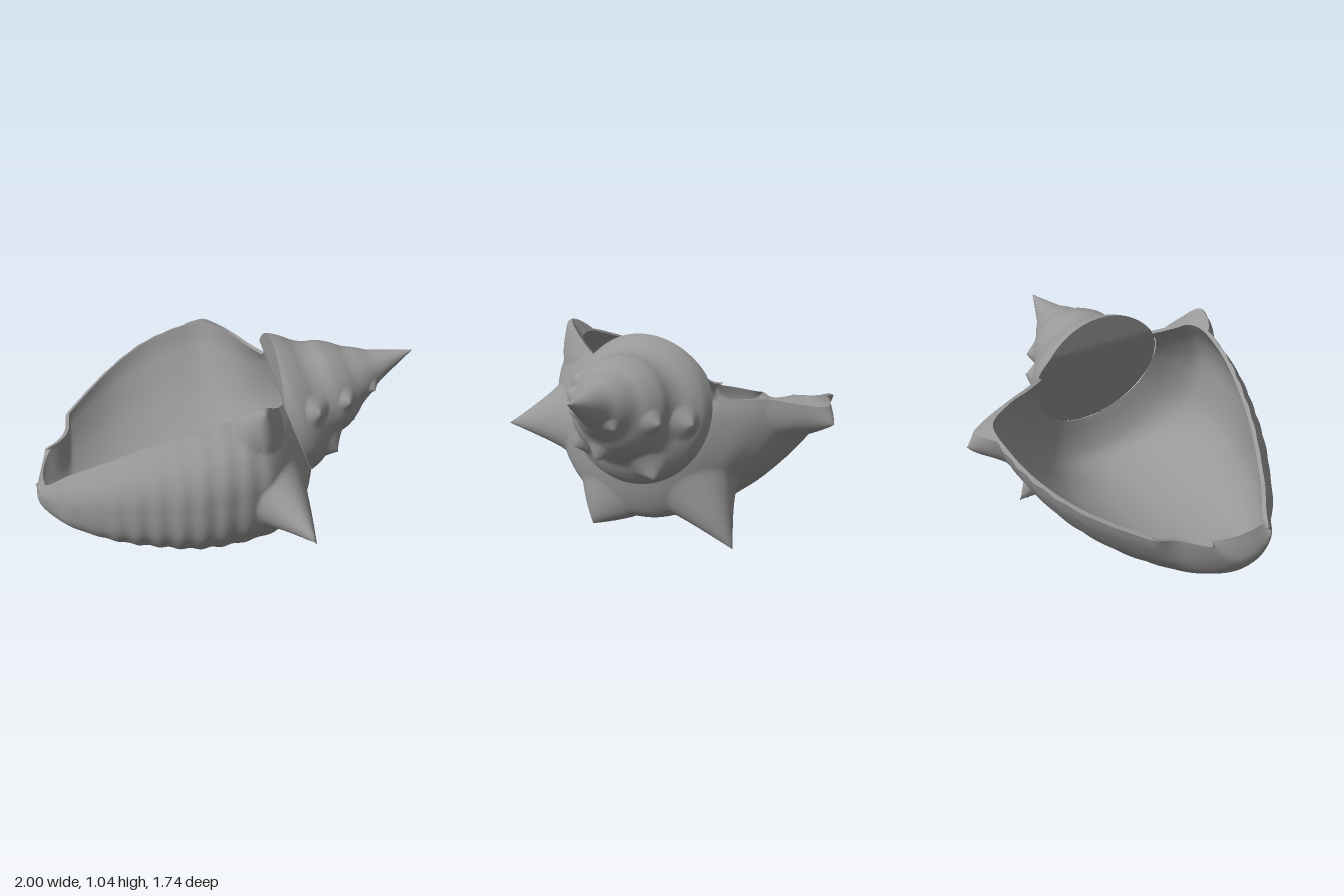
import * as THREE from 'three';

const V = (x, y, z) => new THREE.Vector3(x, y, z);
const { lerp, smoothstep } = THREE.MathUtils;

// smooth interpolation through rows of numbers, t in 0..1
function sample(rows, t) {
  const f = t * (rows.length - 1), i = Math.min(Math.floor(f), rows.length - 2), u = f - i;
  const at = (n) => rows[Math.max(0, Math.min(rows.length - 1, n))];
  return rows[i].map((_, c) => {
    const p0 = at(i - 1)[c], p1 = at(i)[c], p2 = at(i + 1)[c], p3 = at(i + 2)[c];
    const m1 = (p2 - p0) / 2, m2 = (p3 - p1) / 2, d = p1 - p2;
    return p1 + u * (m1 + u * (-3 * d - 2 * m1 - m2 + u * (2 * d + m1 + m2)));
  });
}

// surface from a grid of points; closed joins the last column to the first
function gridGeometry(points, cols, closed = false, flip = false) {
  const rows = points.length / cols, index = [];
  for (let i = 0; i < rows - 1; i++) {
    for (let j = 0; j < (closed ? cols : cols - 1); j++) {
      const k = (j + 1) % cols;
      const a = i * cols + j, b = i * cols + k, c = a + cols, d = b + cols;
      if (flip) index.push(a, c, b, b, c, d);
      else index.push(a, b, c, b, d, c);
    }
  }
  const g = new THREE.BufferGeometry().setFromPoints(points);
  g.setIndex(index);
  g.computeVertexNormals();
  return g;
}

// pulls the surface around the point nearest to base out into a thorn
function pullThorn(points, base, tip, radius, power) {
  let centre = points[0];
  for (const p of points) if (p.distanceTo(base) < centre.distanceTo(base)) centre = p;
  centre = centre.clone();
  const pull = tip.clone().sub(centre);
  for (const p of points) {
    const t = 1 - p.distanceTo(centre) / radius;
    if (t > 0) p.addScaledVector(pull, Math.pow(t, power));
  }
}

// stations: x, bottom y, front z, back z, front rim y, back rim y, slant, roundness
const STATIONS = [
  [-0.955, 0.39, 0.19, -0.12, 0.40, 0.40, 0, 0],
  [-1.00, 0.27, 0.20, -0.14, 0.395, 0.39, 0, 0],
  [-0.94, 0.165, 0.26, -0.23, 0.42, 0.40, 0, 0],
  [-0.80, 0.09, 0.36, -0.41, 0.53, 0.46, 0, 0],
  [-0.60, 0.04, 0.49, -0.61, 0.67, 0.55, 0, 0],
  [-0.40, 0.015, 0.58, -0.73, 0.79, 0.64, 0, 0],
  [-0.20, 0.005, 0.65, -0.775, 0.88, 0.71, 0, 0],
  [0.00, 0.018, 0.67, -0.765, 0.95, 0.76, 0.02, 0.05],
  [0.15, 0.05, 0.64, -0.61, 0.95, 0.77, 0.12, 0.25],
  [0.24, 0.12, 0.55, -0.47, 0.92, 0.77, 0.26, 0.6],
  [0.325, 0.33, 0.42, -0.35, 0.89, 0.77, 0.39, 1],
];
// section outlines from front rim, under the belly, to back rim
const BELLY = [[0.78, 1], [0.95, 0.82], [1, 0.62], [0.92, 0.32], [0.6, 0.08], [0, 0],
  [-0.4, 0.13], [-0.72, 0.45], [-0.93, 0.8], [-1, 1]];
const ROUND = [[0.82, 1], [0.94, 0.87], [1, 0.64], [0.87, 0.31], [0.5, 0.09], [0, 0],
  [-0.5, 0.11], [-0.87, 0.42], [-1, 0.83], [-0.97, 1]];
const AXIS_Z = 0.035;

function bodyPoint(s, t, ribHeight) {
  const [x, yb, zF, zB, yF, yB, slant, round] = sample(STATIONS, s);
  const a = sample(BELLY, t), b = sample(ROUND, t);
  const pz = lerp(a[0], b[0], round), py = lerp(a[1], b[1], round);
  const front = t < 5 / 9;
  // faint growth ribs
  const rib = ribHeight * smoothstep(x, -0.9, -0.4) * (1 - round) * Math.sin(x * 60);
  const y = yb + py * ((front ? yF : yB) - yb) - rib * (1 - py);
  const z = AXIS_Z + pz * ((front ? zF - AXIS_Z : AXIS_Z - zB) + rib);
  // rounded nose
  const nose = (1 - smoothstep(x, -1, -0.82)) * 1.2 * (z - 0.07) ** 2;
  return V(x + nose + slant * (0.68 - y), y, z);
}

// spire: distance along the axis, radius
const LENGTH = 0.716, BASE = 0.385;
const SPIRE = [[0, BASE], [0.06, 0.365], [0.11, 0.33], [0.16, 0.285], [0.21, 0.258], [0.27, 0.24],
  [0.33, 0.203], [0.38, 0.162], [0.44, 0.128], [0.5, 0.09], [0.57, 0.06], [0.65, 0.027], [LENGTH, 0.001]];

// the top of the base is cut off upright at x = 0.25
function spirePoint(along, radius, angle) {
  const f = along / LENGTH, up = radius * Math.cos(angle);
  return V(Math.max(0.25, 0.325 + 0.675 * f - 0.36 * up), 0.685 + 0.24 * f + 0.92 * up,
    AXIS_Z - 0.025 * f + radius * Math.sin(angle));
}

export function createModel() {
  const group = new THREE.Group();
  const shell = new THREE.MeshStandardMaterial({ color: 0x999999, side: THREE.DoubleSide });
  shell.name = 'shell grey';
  const add = (name, geometry) => {
    const mesh = new THREE.Mesh(geometry, shell);
    mesh.name = name;
    group.add(mesh);
  };

  // hollow body whorl, ribbed outside and smooth inside
  const R = 150, C = 131;
  const wallPoints = (ribHeight) => {
    const points = [];
    for (let i = 0; i < R; i++) {
      for (let j = 0; j < C; j++) points.push(bodyPoint(i / (R - 1), j / (C - 1), ribHeight));
    }
    return points;
  };
  const outer = wallPoints(0.004), inner = wallPoints(0);
  const normals = gridGeometry(inner, C).attributes.normal;
  inner.forEach((p, i) => {
    const thickness = 0.02 * smoothstep(Math.floor(i / C) / R, 0, 0.2);
    p.addScaledVector(V(0, 0, 0).fromBufferAttribute(normals, i), -thickness);
  });

  // large shoulder thorns: base, tip, radius, sharpness
  [
    [V(0.12, 0.93, 0.53), V(0.11, 1.01, 0.59), 0.15, 0.75],
    [V(0.25, 0.5, 0.6), V(0.31, 0.45, 0.87), 0.18, 1.2],
    [V(0.33, 0.14, 0.22), V(0.39, 0.003, 0.3), 0.18, 1],
    [V(0.3, 0.25, -0.32), V(0.33, 0.015, -0.48), 0.19, 1.2],
    [V(0.06, 0.7, -0.72), V(0.04, 0.65, -0.87), 0.18, 1.1],
  ].forEach(([base, tip, radius, power]) => pullThorn(outer, base, tip, radius, power));
  outer.forEach((p) => { p.y = Math.max(p.y, 0); });

  add('bodyWhorl', gridGeometry(outer, C));
  add('bodyInterior', gridGeometry(inner, C, false, true));

  // lip joining the outer and inner walls around the opening
  const edge = [];
  for (let i = R - 1; i > 0; i--) edge.push(i * C);
  for (let j = 0; j < C; j++) edge.push(j);
  for (let i = 1; i < R; i++) edge.push(i * C + C - 1);
  const lip = [...edge.map((i) => inner[i]), ...edge.map((i) => outer[i])];
  add('lip', gridGeometry(lip, edge.length));

  // stepped spire with small knobs
  const SR = 90, SC = 128, spire = [];
  const addRing = (points, along, radius) => {
    for (let j = 0; j < SC; j++) points.push(spirePoint(along, radius, (j / SC) * Math.PI * 2));
  };
  for (let i = 0; i < SR; i++) addRing(spire, ...sample(SPIRE, i / (SR - 1)));
  // knobs: along the axis, radius there, angle from the top, size
  [
    [0.14, 0.3, 1.29, 0.08], [0.15, 0.293, 2.32, 0.085], [0.13, 0.312, 3.69, 0.095], [0.14, 0.3, 4.63, 0.08],
    [0.3, 0.222, 1.46, 0.06], [0.3, 0.222, 3.0, 0.065], [0.3, 0.222, 4.54, 0.06],
    [0.45, 0.12, 1.95, 0.04], [0.45, 0.12, 3.99, 0.04],
  ].forEach(([along, radius, angle, size]) => {
    pullThorn(spire, spirePoint(along, radius, angle),
      spirePoint(along + size * 0.1, radius + size * 0.7, angle), size, 1.1);
  });
  add('spire', gridGeometry(spire, SC, true));

  // wall closing the spire at the end of the opening
  const wall = [];
  for (let i = 0; i <= 16; i++) addRing(wall, 0, (BASE * i) / 16);
  add('spireWall', gridGeometry(wall, SC, true));

  return group;
}
